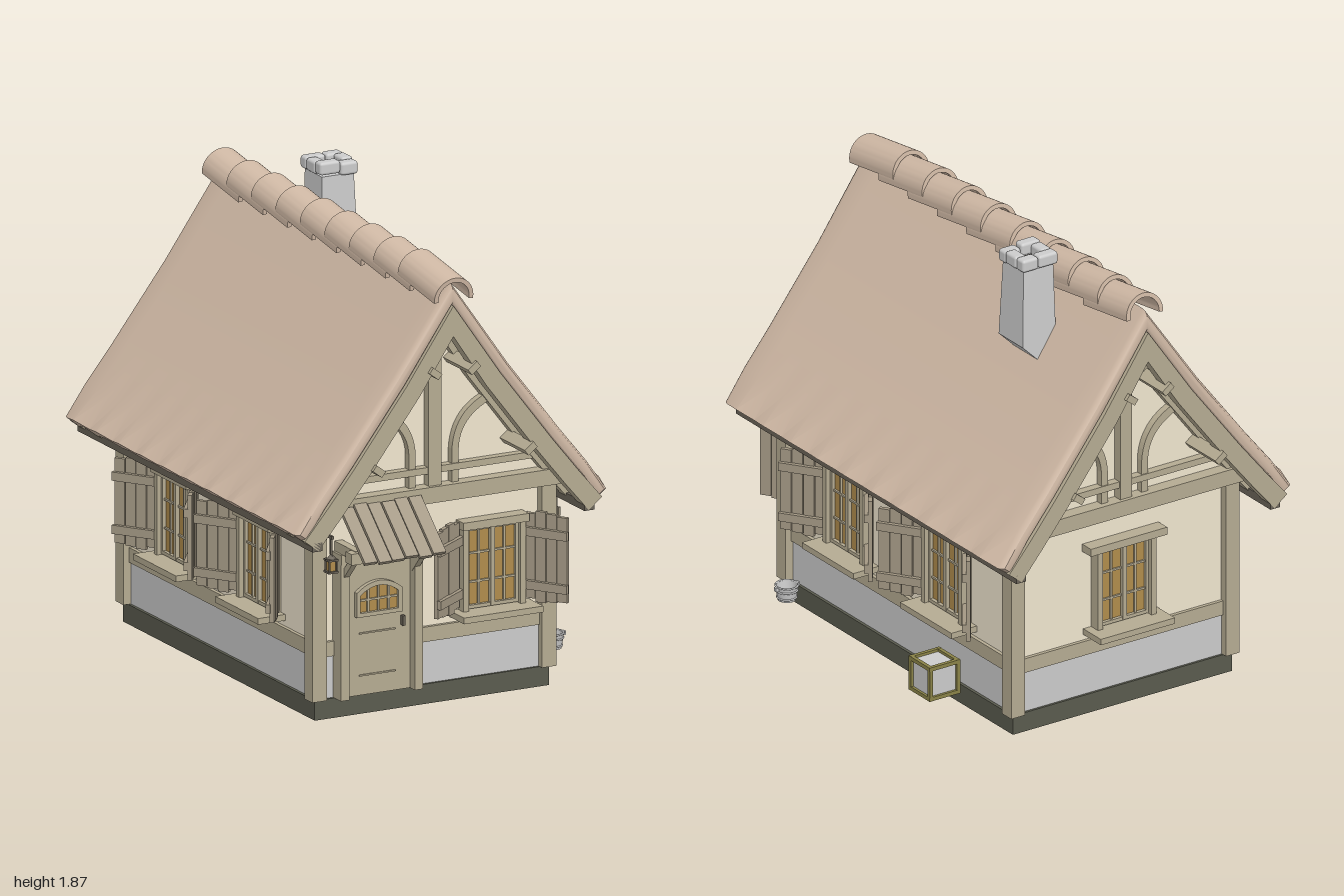
import * as THREE from 'three';
import { toCreasedNormals } from 'three/addons/utils/BufferGeometryUtils.js';
import { RoundedBoxGeometry } from 'three/addons/geometries/RoundedBoxGeometry.js';

const mat = (color) => new THREE.MeshStandardMaterial({ color });
const STONE = mat(0xcccccc), PLASTER = mat(0xf0e6cf), WOOD = mat(0xb5ab92), SHUTTER = mat(0xa39884);
const ROOF = mat(0xd0b9a5), GLASS = mat(0xb08c4c), BASE = mat(0x5a5b4e), OLIVE = mat(0x8a8348), DARK = mat(0x6a6358);

function add(parent, name, geo, material, x = 0, y = 0, z = 0) {
  const m = new THREE.Mesh(geo, material);
  m.name = name;
  m.position.set(x, y, z);
  parent.add(m);
  return m;
}
const box = (parent, name, material, w, h, d, x, y, z) =>
  add(parent, name, new THREE.BoxGeometry(w, h, d), material, x, y, z);
function group(parent, name, x = 0, y = 0, z = 0, ry = 0) {
  const g = new THREE.Group();
  g.name = name;
  g.position.set(x, y, z);
  g.rotation.y = ry;
  parent.add(g);
  return g;
}
const extrude = (shape, depth, opts = {}) =>
  new THREE.ExtrudeGeometry(shape, { depth, bevelEnabled: false, ...opts });
const polygon = (pts) => new THREE.Shape(pts.map(([x, y]) => new THREE.Vector2(x, y)));

// Roof slope from ridge to eave, and a chevron between two depths below it
const SLOPE = [[0, 1.74], [0.25, 1.385], [0.48, 1.085], [0.6, 0.937], [0.7, 0.82]];
const NX = 0.795, NY = 0.606;
function chevron(t0, t1) {
  const half = (t) => SLOPE.map(([x, y]) => (x ? [x - NX * t, y - NY * t] : [0, y - t / NY]));
  const flip = (pts) => pts.map(([x, y]) => [-x, y]);
  const full = (t) => [...flip(half(t)).reverse(), ...half(t).slice(1)];
  return polygon([...full(t0), ...full(t1).reverse()]);
}

function shutter(parent, s, angle) {
  const g = group(parent, 'shutter', s * 0.15, 0.02, 0.02, -s * angle);
  for (let i = 0; i < 4; i++)
    box(g, 'shutterPlank', SHUTTER, 0.044, 0.355 + 0.012 * ((i * 2) % 3 - 1), 0.018, s * (0.024 + i * 0.047), 0, 0.002 * (i % 2));
  for (const y of [-0.115, 0.1]) box(g, 'shutterBatten', SHUTTER, 0.2, 0.035, 0.018, s * 0.092, y, 0.017);
}

// Window facing +z, with optional opened shutters
function windowUnit(parent, x, z, ry, angles, headW) {
  const g = group(parent, 'window', x, 0.525, z, ry);
  box(g, 'glass', GLASS, 0.25, 0.32, 0.02, 0, 0, 0.004);
  for (const s of [-1, 1]) {
    box(g, 'windowJamb', WOOD, 0.024, 0.35, 0.055, s * 0.126, 0, 0.02);
    box(g, 'casementStile', WOOD, 0.012, 0.32, 0.025, s * 0.108, 0, 0.016);
    box(g, 'glazingBar', WOOD, 0.008, 0.32, 0.02, s * 0.056, 0, 0.012);
    box(g, 'glazingBar', WOOD, 0.23, 0.008, 0.02, 0, s * 0.058, 0.012);
    box(g, 'casementRail', WOOD, 0.23, 0.014, 0.025, 0, s * 0.157, 0.016);
  }
  box(g, 'mullion', WOOD, 0.018, 0.32, 0.03, 0, 0, 0.016);
  box(g, 'windowHead', WOOD, headW, 0.032, 0.07, 0, 0.18, 0.025);
  box(g, 'windowSill', WOOD, 0.35, 0.025, 0.12, 0, -0.18, 0.06);
  if (angles) [-1, 1].forEach((s, i) => shutter(g, s, angles[i]));
}

// Timber framing at one end of the house
function gable(parent, ry) {
  const g = group(parent, 'gable', 0, 0, 0, ry);
  box(g, 'tieBeam', WOOD, 1.14, 0.065, 0.07, 0, 0.852, 0.785);
  box(g, 'collarBeam', WOOD, 0.9, 0.027, 0.04, 0, 0.947, 0.78);
  box(g, 'kingPost', WOOD, 0.056, 0.7, 0.05, 0, 1.235, 0.78);
  add(g, 'wallRafters', extrude(chevron(0.055, 0.13), 0.05), WOOD, 0, 0, 0.755);
  add(g, 'vergeRafters', extrude(chevron(0.055, 0.13), 0.06), WOOD, 0, 0, 0.895);
  for (const s of [-1, 1]) {
    const b = new THREE.Shape();
    b.moveTo(s * 0.08, 0.885).lineTo(s * 0.08, 1.02).quadraticCurveTo(s * 0.09, 1.17, s * 0.235, 1.225);
    b.lineTo(s * 0.25, 1.195).quadraticCurveTo(s * 0.115, 1.14, s * 0.11, 1.02).lineTo(s * 0.11, 0.885);
    add(g, 'curvedBrace', extrude(b, 0.04), WOOD, 0, 0, 0.755);
  }
}

function door(parent) {
  const g = group(parent, 'door', -0.25, 0, 0.765);
  for (const s of [-1, 1]) box(g, 'doorPost', WOOD, 0.037, 0.57, 0.08, s * 0.163, 0.365, 0.03);
  box(g, 'doorHead', WOOD, 0.363, 0.04, 0.085, 0, 0.65, 0.03);
  box(g, 'doorLeaf', WOOD, 0.29, 0.55, 0.04, 0, 0.355, 0.01);
  const arch = (w, y0, y1, top) => {
    const s = new THREE.Shape();
    s.moveTo(-w, y0).lineTo(w, y0).lineTo(w, y1).quadraticCurveTo(0, top, -w, y1).lineTo(-w, y0);
    return s;
  };
  const frame = arch(0.1, 0.4, 0.5, 0.58);
  frame.holes.push(arch(0.084, 0.416, 0.488, 0.553));
  add(g, 'doorWindowFrame', extrude(frame, 0.02), WOOD, 0, 0, 0.03);
  add(g, 'doorGlass', extrude(arch(0.09, 0.41, 0.49, 0.56), 0.005), GLASS, 0, 0, 0.03);
  for (const x of [-0.045, 0, 0.045]) box(g, 'doorWindowBar', WOOD, 0.008, 0.11, 0.012, x, 0.465, 0.036);
  box(g, 'doorWindowBar', WOOD, 0.17, 0.008, 0.012, 0, 0.465, 0.036);
  for (const y of [0.16, 0.33]) box(g, 'doorRail', WOOD, 0.16, 0.006, 0.006, 0, y, 0.032);
  box(g, 'doorHandle', DARK, 0.012, 0.04, 0.02, 0.11, 0.36, 0.038);
  // Plank canopy on two arms
  const roof = group(g, 'canopy', 0, 0.765, 0.155);
  roof.rotation.x = 0.71;
  for (let i = 0; i < 6; i++)
    box(roof, 'canopyPlank', SHUTTER, 0.055, 0.016, 0.27 + 0.008 * ((i * 2) % 3 - 1), -0.15 + i * 0.06, 0.004 * (i % 2), 0);
  box(g, 'canopyBeam', WOOD, 0.4, 0.045, 0.05, 0, 0.685, 0.165);
  for (const s of [-1, 1]) {
    box(g, 'canopyArm', WOOD, 0.035, 0.04, 0.17, s * 0.155, 0.69, 0.085);
    box(g, 'canopyStrut', WOOD, 0.025, 0.17, 0.025, s * 0.155, 0.63, 0.1).rotation.x = 0.75;
  }
}

function roof(parent) {
  const steps = 20, depth = 1.84;
  const geo = extrude(chevron(0, 0.06), depth, {
    steps, bevelEnabled: true, bevelSize: 0.025, bevelOffset: -0.025, bevelThickness: 0.03, bevelSegments: 3,
  });
  // Ripple the eaves
  const p = geo.attributes.position;
  for (let i = 0; i < p.count; i++) {
    const x = p.getX(i);
    if (Math.abs(x) < 0.62) continue;
    const d = Math.round((p.getZ(i) * steps) / depth) % 2 ? 0.014 : -0.014;
    p.setX(i, x + Math.sign(x) * NX * d);
    p.setY(i, p.getY(i) + NY * d);
  }
  add(parent, 'roof', toCreasedNormals(geo, 0.5), ROOF, 0, 0, -depth / 2);
  for (const s of [-1, 1]) {
    box(parent, 'eaveBeam', DARK, 0.045, 0.035, 1.91, s * 0.6, 0.757, 0);
    for (const [x, y] of [[0.335, 1.03], [0.085, 1.39]])
      box(parent, 'purlin', WOOD, 0.028, 0.05, 1.94, s * x, y, 0).rotation.z = s * -0.92;
  }
  // Overlapping half-round ridge tiles
  const tile = new THREE.Shape();
  tile.absarc(0, 0, 0.086, -0.12, Math.PI + 0.12, false);
  tile.absarc(0, 0, 0.068, Math.PI + 0.12, -0.12, true);
  const tileGeo = toCreasedNormals(extrude(tile, 0.3, { curveSegments: 16 }), 0.6);
  for (let i = 0; i < 9; i++) add(parent, 'ridgeTile', tileGeo, ROOF, 0, 1.722, 0.66 - i * 0.199).rotation.x = 0.14;
}

function chimney(parent) {
  const g = group(parent, 'chimney', 0.195, 0, -0.465);
  const geo = new THREE.BoxGeometry(1, 1, 1), p = geo.attributes.position;
  // Tapered shaft with a sloping foot
  for (let i = 0; i < p.count; i++) {
    const sx = Math.sign(p.getX(i)), sz = Math.sign(p.getZ(i)), top = p.getY(i) > 0;
    const r = top ? 0.07 : 0.082;
    p.setXYZ(i, sx * r, top ? 1.81 : 1.415 + sx * 0.08, sz * r);
  }
  geo.computeVertexNormals();
  add(g, 'chimneyShaft', geo, STONE);
  box(g, 'flue', DARK, 0.09, 0.01, 0.09, 0, 1.812, 0);
  const stone = (w, d, x, z, y) => add(g, 'capStone', new RoundedBoxGeometry(w, 0.052, d, 2, 0.012), STONE, x, y, z);
  for (const s of [-1, 1]) {
    stone(0.09, 0.05, -0.04, s * 0.06, 1.842 + s * 0.003);
    stone(0.075, 0.052, 0.045, s * 0.06, 1.836 - s * 0.003);
    stone(0.05, 0.075, s * 0.06, 0, 1.839);
  }
}

function yardItems(parent) {
  // Crate: panels inside an edge frame
  const c = group(parent, 'crate', 0.637, 0.163, -0.465);
  box(c, 'cratePanels', STONE, 0.122, 0.122, 0.122, 0, 0, 0);
  for (const a of [-1, 1]) for (const b of [-1, 1]) {
    const u = a * 0.064, v = b * 0.064;
    box(c, 'crateEdge', OLIVE, 0.145, 0.016, 0.016, 0, u, v);
    box(c, 'crateEdge', OLIVE, 0.016, 0.145, 0.016, u, 0, v);
    box(c, 'crateEdge', OLIVE, 0.016, 0.016, 0.145, u, v, 0);
  }
  // Bucket
  const b = group(parent, 'bucket', 0.62, 0.086, 0.565);
  const prof = [[0, 0], [0.036, 0], [0.046, 0.062], [0.04, 0.062], [0.033, 0.01], [0, 0.01]];
  add(b, 'bucketBody', toCreasedNormals(new THREE.LatheGeometry(prof.map((q) => new THREE.Vector2(...q)), 16), 0.6), STONE);
  for (const [r, y] of [[0.038, 0.012], [0.043, 0.042], [0.045, 0.062]])
    add(b, 'bucketHoop', new THREE.TorusGeometry(r, 0.004, 6, 16), STONE, 0, y, 0).rotation.x = Math.PI / 2;
  for (const s of [-1, 1]) box(b, 'bucketEar', STONE, 0.014, 0.016, 0.016, s * 0.049, 0.055, 0);
  // Hanging lantern beside the door
  const l = group(parent, 'lantern', -0.52, 0.655, 0.865);
  box(l, 'lanternGlass', GLASS, 0.026, 0.04, 0.026, 0, 0, 0);
  for (const y of [-0.024, 0.024]) box(l, 'lanternPlate', DARK, 0.044, 0.008, 0.044, 0, y, 0);
  for (const x of [-1, 1]) for (const z of [-1, 1]) box(l, 'lanternBar', DARK, 0.006, 0.046, 0.006, x * 0.016, 0, z * 0.016);
  add(l, 'lanternCap', new THREE.ConeGeometry(0.024, 0.024, 4), DARK, 0, 0.038, 0);
  box(l, 'lanternChain', DARK, 0.008, 0.075, 0.008, 0, 0.082, 0);
  box(l, 'lanternBracket', DARK, 0.01, 0.012, 0.13, 0, 0.115, -0.05);
}

export function createModel() {
  const root = new THREE.Group();
  root.name = 'cottage';
  const house = group(root, 'house', -0.013, 0, -0.028);
  // Walls
  box(house, 'base', BASE, 1.035, 0.08, 1.56, 0, 0.04, 0);
  box(house, 'stoneFooting', STONE, 1.01, 0.19, 1.54, 0, 0.17, 0);
  box(house, 'sillBeam', WOOD, 1.03, 0.06, 1.56, 0, 0.28, 0);
  const wall = polygon([[-0.5, 0.25], [0.5, 0.25], [0.5, 0.93], [0, 1.6], [-0.5, 0.93]]);
  add(house, 'plasterWalls', extrude(wall, 1.53), PLASTER, 0, 0, -0.765);
  for (const x of [-1, 1]) for (const z of [-1, 1])
    box(house, 'cornerPost', WOOD, 0.064, 0.76, 0.064, x * 0.507, 0.46, z * 0.768);
  gable(house, 0);
  gable(house, Math.PI);
  // Openings
  door(house);
  windowUnit(house, 0.26, 0.765, 0, [0.6, 0.97], 0.29);
  windowUnit(house, 0, -0.765, Math.PI, null, 0.36);
  for (const s of [-1, 1]) for (const z of [-0.334, 0.334])
    windowUnit(house, s * 0.5, z, (s * Math.PI) / 2, [0.61, 0.61], 0.29);
  roof(house);
  chimney(root);
  yardItems(root);
  return root;
}
